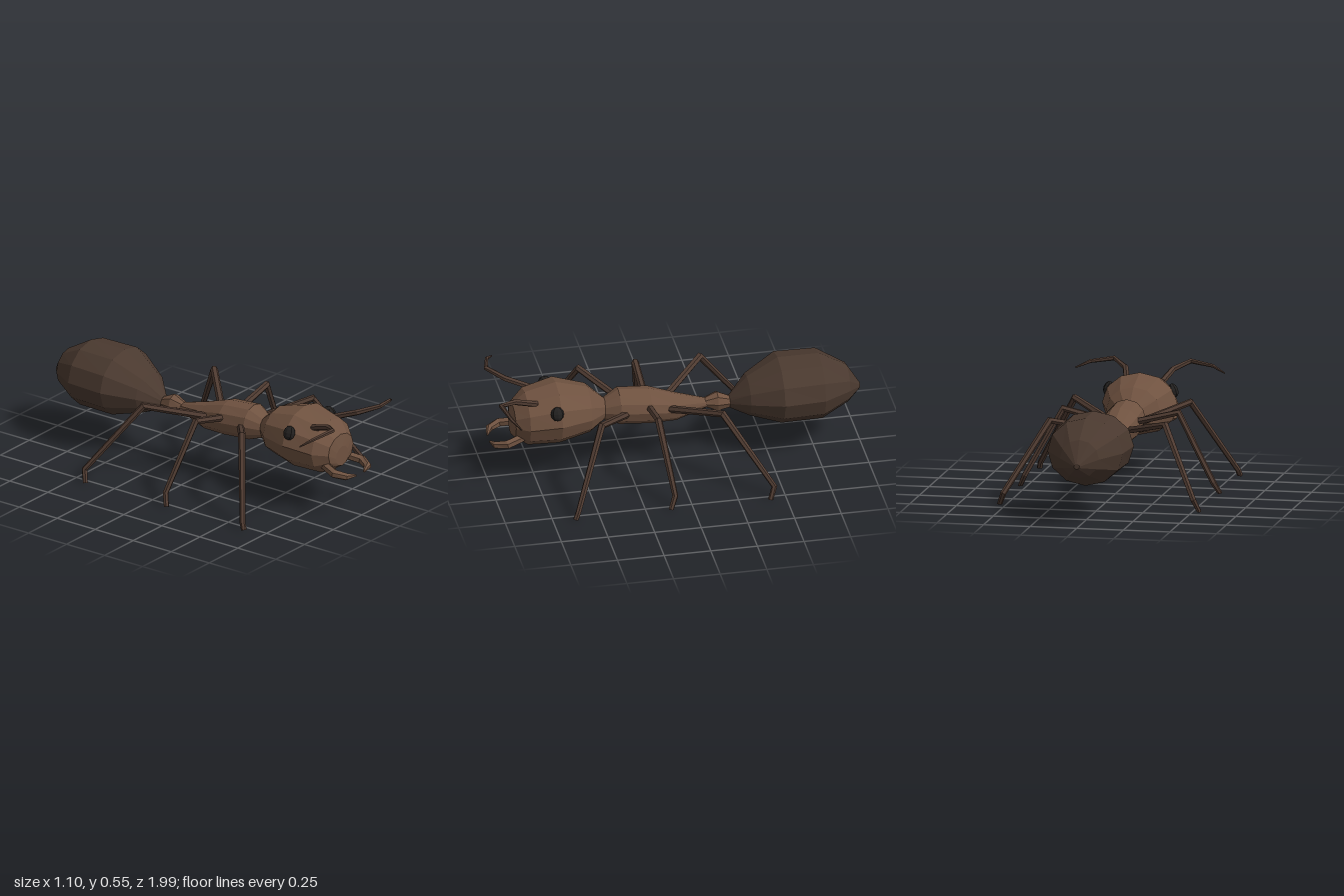
import * as THREE from 'three';

const material = (color) => new THREE.MeshStandardMaterial({ color, flatShading: true, roughness: 0.9 });

// Closed skin over a list of rings; each ring runs counter-clockwise about the direction of travel
function skin(rings) {
  const n = rings[0].length, pos = [], index = [];
  rings.forEach((ring) => ring.forEach((p) => pos.push(p.x, p.y, p.z)));
  for (let i = 0; i < rings.length - 1; i++) {
    for (let j = 0; j < n; j++) {
      const a = i * n + j, b = i * n + (j + 1) % n;
      index.push(a, b, b + n, a, b + n, a + n);
    }
  }
  // End caps
  const last = (rings.length - 1) * n;
  for (let j = 1; j < n - 1; j++) {
    index.push(0, j + 1, j);
    index.push(last, last + j, last + j + 1);
  }
  const geometry = new THREE.BufferGeometry();
  geometry.setAttribute('position', new THREE.Float32BufferAttribute(pos, 3));
  geometry.setIndex(index);
  const flat = geometry.toNonIndexed();
  flat.computeVertexNormals();
  return flat;
}

// Body segment from sections [z, halfWidth, bottom, top], rear to front
function segment(sections, sides = 12) {
  return skin(sections.map(([z, rx, lo, hi]) => Array.from({ length: sides }, (_, j) => {
    const a = (j / sides) * Math.PI * 2;
    return new THREE.Vector3(rx * Math.cos(a), (lo + hi) / 2 + (hi - lo) / 2 * Math.sin(a), z);
  })));
}

// Jointed tapering limb through points [x, y, z, radius]; never dips under the ground
function limb(points, ref, sides = 6) {
  const path = points.map(([x, y, z]) => new THREE.Vector3(x, y, z));
  return skin(path.map((p, i) => {
    const before = path[Math.max(i - 1, 0)], after = path[Math.min(i + 1, path.length - 1)];
    const t = new THREE.Vector3();
    if (i > 0) t.add(p.clone().sub(before).normalize());
    if (i < path.length - 1) t.add(after.clone().sub(p).normalize());
    t.normalize();
    const u = ref.clone().addScaledVector(t, -ref.dot(t)).normalize();
    const v = t.clone().cross(u);
    return Array.from({ length: sides }, (_, j) => {
      const a = (j / sides) * Math.PI * 2, r = points[i][3];
      const q = p.clone().addScaledVector(u, r * Math.cos(a)).addScaledVector(v, r * Math.sin(a));
      q.y = Math.max(q.y, 0);
      return q;
    });
  }));
}

export function createModel() {
  const model = new THREE.Group();
  const brown = material(0x6f5240), dark = material(0x4a392f);
  const limbBrown = material(0x4f3b31), black = material(0x22201f);
  const add = (name, geometry, mat) => {
    const mesh = new THREE.Mesh(geometry, mat);
    mesh.name = name;
    model.add(mesh);
    return mesh;
  };

  // Body segments
  add('abdomen', segment([
    [-1.0, 0.015, 0.315, 0.345], [-0.93, 0.105, 0.255, 0.46], [-0.78, 0.203, 0.187, 0.547],
    [-0.56, 0.216, 0.187, 0.547], [-0.395, 0.125, 0.235, 0.45], [-0.3, 0.03, 0.275, 0.345],
  ]), dark);
  add('waist', segment([
    [-0.31, 0.03, 0.28, 0.34], [-0.235, 0.05, 0.263, 0.375], [-0.17, 0.03, 0.295, 0.345],
  ], 8), brown);
  add('thorax', segment([
    [-0.18, 0.03, 0.295, 0.34], [-0.01, 0.075, 0.24, 0.39], [0.13, 0.105, 0.243, 0.437],
    [0.295, 0.1, 0.255, 0.45], [0.39, 0.05, 0.29, 0.39],
  ]), brown);
  add('head', segment([
    [0.365, 0.05, 0.29, 0.4], [0.46, 0.145, 0.235, 0.485], [0.63, 0.203, 0.2, 0.532],
    [0.795, 0.17, 0.2, 0.49], [0.862, 0.11, 0.245, 0.425], [0.872, 0.055, 0.25, 0.36],
  ]), brown);

  const up = new THREE.Vector3(0, 1, 0);
  const legs = {
    front: [[0.07, 0.335, 0.255, 0.02], [0.31, 0.42, 0.445, 0.02], [0.53, 0.035, 0.615, 0.015], [0.538, 0, 0.63, 0.015]],
    middle: [[0.07, 0.36, 0.14, 0.02], [0.31, 0.42, 0.14, 0.02], [0.505, 0.065, 0.09, 0.016], [0.535, 0, 0.118, 0.014]],
    rear: [[0.06, 0.335, 0.035, 0.02], [0.31, 0.418, -0.205, 0.02], [0.51, 0.065, -0.44, 0.016], [0.535, 0, -0.415, 0.014]],
  };
  const antenna = [
    [0.095, 0.465, 0.75, 0.017], [0.128, 0.51, 0.875, 0.016], [0.205, 0.54, 0.962, 0.013],
    [0.33, 0.524, 0.932, 0.01], [0.4, 0.495, 0.892, 0.004],
  ];
  const mandible = [
    [0.085, 0.272, 0.81, 0.024], [0.12, 0.252, 0.91, 0.025], [0.092, 0.24, 0.968, 0.02], [0.035, 0.233, 0.988, 0.006],
  ];

  // Paired parts, left (+x) and right (-x)
  for (const [side, s] of [['Left', 1], ['Right', -1]]) {
    const mirror = (points) => points.map(([x, y, z, r]) => [s * x, y, z, r]);
    for (const [place, points] of Object.entries(legs)) {
      const p = mirror(points), end = p[2];
      const heading = new THREE.Vector3(end[0] - p[0][0], 0, end[2] - p[0][2]);
      add(`${place}Leg${side}`, limb(p, heading.cross(up).normalize()), limbBrown);
    }
    add(`antenna${side}`, limb(mirror(antenna), up), limbBrown);
    add(`mandible${side}`, limb(mirror(mandible), up), brown);

    const eye = add(`eye${side}`, new THREE.SphereGeometry(1, 8, 6), black);
    eye.scale.set(0.026, 0.038, 0.036);
    eye.rotation.z = s * 0.35;
    eye.position.set(s * 0.175, 0.438, 0.655);
  }
  return model;
}
